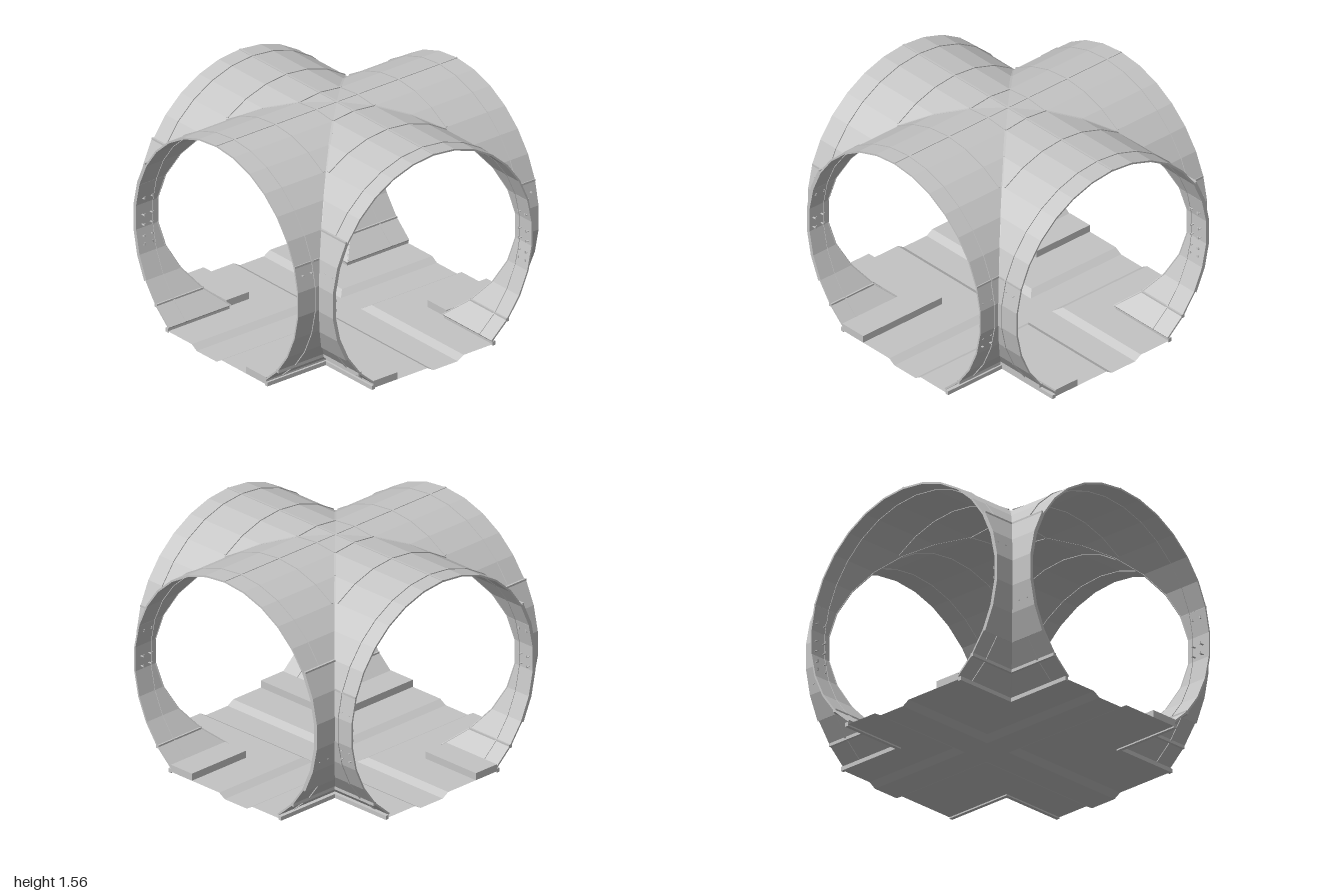
import * as THREE from 'three';

const CY = 0.72, R_IN = 0.818, R_OUT = 0.83, STEP = 12, FLOOR = 0.03;
const HALF_X = 1, HALF_Z = 0.98;
const grey = new THREE.MeshStandardMaterial({ color: 0xc4c4c4, side: THREE.DoubleSide, flatShading: true });
grey.name = 'lightGrey';

function fromQuads(name, quads) {
  const pos = [];
  for (const [a, b, c, d] of quads) for (const p of [a, b, c, a, c, d]) pos.push(...p);
  const g = new THREE.BufferGeometry();
  g.setAttribute('position', new THREE.Float32BufferAttribute(pos, 3));
  g.computeVertexNormals();
  const mesh = new THREE.Mesh(g, grey);
  mesh.name = name;
  return mesh;
}

// Box given by its minimum and maximum corners
function block(name, x0, x1, y0, y1, z0, z1) {
  const m = new THREE.Mesh(new THREE.BoxGeometry(Math.abs(x1 - x0), y1 - y0, Math.abs(z1 - z0)), grey);
  m.position.set((x0 + x1) / 2, (y0 + y1) / 2, (z0 + z1) / 2);
  m.name = name;
  return m;
}

// Square bar between two points
function bar(name, a, b, w) {
  const p = new THREE.Vector3(...a), q = new THREE.Vector3(...b);
  const m = new THREE.Mesh(new THREE.BoxGeometry(w, w, p.distanceTo(q)), grey);
  m.position.copy(p).add(q).multiplyScalar(0.5);
  m.lookAt(q);
  m.name = name;
  return m;
}

const ring = (deg, r) => {
  const t = THREE.MathUtils.degToRad(deg);
  return [r * Math.sin(t), CY + r * Math.cos(t)];
};

// Faceted curved slab between two angles; start(x) gives where it begins along z
function shell(name, from, to, rIn, rOut, start, end) {
  const quads = [];
  const pt = (deg, r, atEnd) => {
    const [x, y] = ring(deg, r);
    return [x, y, atEnd ? end : start(x)];
  };
  for (let a = from; a < to; a += STEP) {
    const b = a + STEP;
    const [i0, i1, o0, o1] = [pt(a, rIn, 0), pt(a, rIn, 1), pt(a, rOut, 0), pt(a, rOut, 1)];
    const [j0, j1, q0, q1] = [pt(b, rIn, 0), pt(b, rIn, 1), pt(b, rOut, 0), pt(b, rOut, 1)];
    quads.push([o0, o1, q1, q0], [i0, j0, j1, i1], [i1, j1, q1, o1], [i0, o0, q0, j0]);
    if (a === from) quads.push([i0, i1, o1, o0]);
    if (b === to) quads.push([j0, q0, q1, j1]);
  }
  return fromQuads(name, quads);
}

// One arm of the vault, built towards +z and mitred along the diagonals
function vaultArm(length, panelSide, hookSide) {
  const arm = new THREE.Group();
  arm.name = 'vaultArm';
  const mitre = (x) => Math.abs(x);
  arm.add(shell('vaultShell', -144, 144, R_IN, R_OUT, mitre, length));

  // Slightly proud wall panel on one side
  const [p0, p1] = panelSide > 0 ? [60, 120] : [-120, -60];
  arm.add(shell('wallPanel', p0, p1, R_OUT, 0.844, mitre, length));

  // Cross ribs
  for (const [z, deg] of [[0.855, 144], [0.512, 36], [0.172, 12]])
    arm.add(shell('crossRib', -deg, deg, 0.814, 0.836, () => z - 0.006, z + 0.006));

  // Lengthwise seams along the crown and the walls
  for (const deg of [0, -72, 72, -132, 132]) {
    const [x, y] = ring(deg, 0.826);
    arm.add(bar('lengthRib', [x, y, Math.abs(x)], [x, y, length], Math.abs(deg) === 132 ? 0.024 : 0.014));
  }
  const [sx, sy] = ring(60 * panelSide, 0.84);
  arm.add(bar('panelSeam', [sx, sy, Math.abs(sx)], [sx, sy, length], 0.014));

  // Kerb strips at the wall feet
  for (const s of [-1, 1])
    arm.add(block('footStrip', s * 0.49, s * 0.515, 0.02, 0.048, 0.49, length));

  // Small cable hooks inside the walls
  for (const [s, heights] of [[hookSide, [0.91, 0.73, 0.66]], [-hookSide, [0.85, 0.73, 0.66, 0.58, 0.52]]])
    for (const y of heights)
      for (const z of [0.88, 0.95]) {
        arm.add(block('hookArm', s * 0.785, s * 0.82, y - 0.002, y + 0.002, z - 0.006, z + 0.006));
        arm.add(block('hookTip', s * 0.783, s * 0.787, y - 0.002, y + 0.016, z - 0.006, z + 0.006));
      }
  return arm;
}

// Cross-shaped floor sheet with a sunken channel along each arm
function floorSheet() {
  const channel = (v) => {
    if (v <= -0.05 || v >= 0.25) return FLOOR;
    if (v >= 0 && v <= 0.2) return 0;
    return v < 0 ? FLOOR * (-v / 0.05) : FLOOR * ((v - 0.2) / 0.05);
  };
  const xs = [-HALF_X, -0.5, -0.05, 0, 0.2, 0.25, 0.5, HALF_X];
  const zs = [-HALF_Z, -0.5, -0.25, -0.2, 0, 0.05, 0.5, HALF_Z];
  const p = (x, z) => [x, Math.min(channel(x), channel(-z)), z];
  const quads = [];
  for (let i = 0; i < 7; i++)
    for (let j = 0; j < 7; j++) {
      if ((i === 0 || i === 6) && (j === 0 || j === 6)) continue;
      const c = [p(xs[i], zs[j]), p(xs[i], zs[j + 1]), p(xs[i + 1], zs[j + 1]), p(xs[i + 1], zs[j])];
      // Turn the split so channel corners fold along the mitre
      const turn = (i < 3) !== (j < 3);
      quads.push(turn ? [c[1], c[2], c[3], c[0]] : c);
    }
  return fromQuads('floor', quads);
}

export function createModel() {
  const model = new THREE.Group();
  model.name = 'vaultedCrossing';

  // Four arms around the crossing
  const panelSides = [-1, 1, 1, -1], hookSides = [-1, -1, 1, 1];
  for (let k = 0; k < 4; k++) {
    const arm = vaultArm(k % 2 ? HALF_X : HALF_Z, panelSides[k], hookSides[k]);
    arm.rotation.y = (k * Math.PI) / 2;
    model.add(arm);
  }

  // Groin ribs on the diagonals
  for (const sx of [-1, 1])
    for (const sz of [-1, 1])
      for (let deg = 12; deg < 144; deg += STEP) {
        const [a, ay] = ring(deg, 0.825), [b, by] = ring(deg + STEP, 0.825);
        model.add(bar('groinRib', [sx * a, ay, sz * a], [sx * b, by, sz * b], 0.014));
      }

  model.add(floorSheet());

  // Raised kerbs: an L round one pillar and two straight ledges
  const top = 0.08;
  model.add(block('cornerKerbLong', -0.5, -0.3, FLOOR, top, 0.3, HALF_Z));
  model.add(block('cornerKerbSide', -HALF_X, -0.5, FLOOR, top, 0.3, 0.5));
  model.add(block('ledge', 0.51, HALF_X, FLOOR, top, 0.3, 0.49));
  model.add(block('ledge', -0.49, -0.3, FLOOR, top, -HALF_Z, -0.52));
  return model;
}
